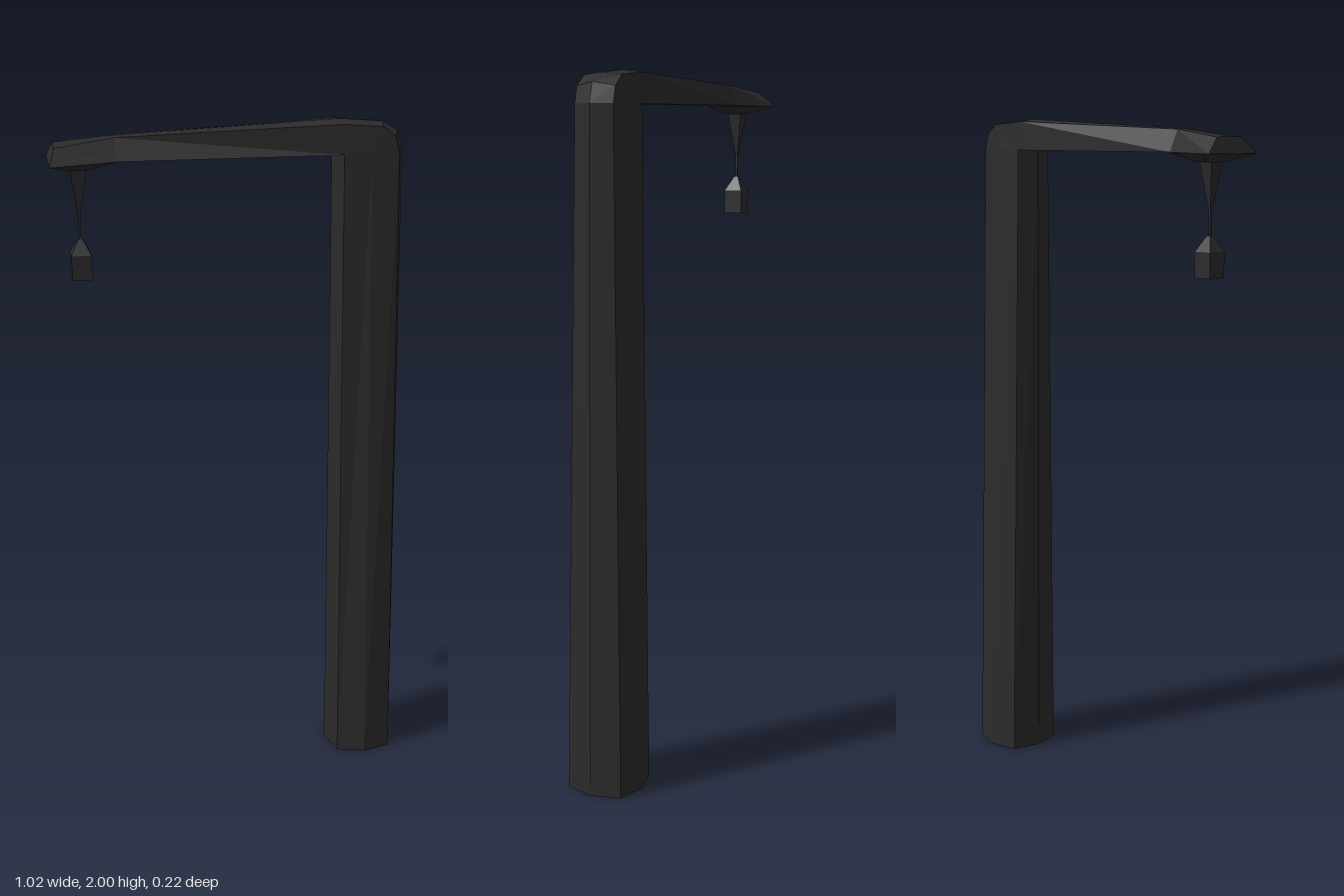
import * as THREE from 'three';

const dark = new THREE.MeshStandardMaterial({ color: 0x2b2b2b, flatShading: true });

// Skins a row of equal-length cross-sections and closes both ends
function loft(rings) {
  const pos = [];
  const tri = (...pts) => pts.forEach((p) => pos.push(...p));
  const n = rings[0].length;
  for (let r = 0; r < rings.length - 1; r++) {
    const a = rings[r], b = rings[r + 1];
    for (let i = 0; i < n; i++) {
      const j = (i + 1) % n;
      tri(a[i], a[j], b[j]);
      tri(a[i], b[j], b[i]);
    }
  }
  const first = rings[0], last = rings[rings.length - 1];
  for (let i = 1; i < n - 1; i++) {
    tri(first[0], first[i + 1], first[i]);
    tri(last[0], last[i], last[i + 1]);
  }
  const g = new THREE.BufferGeometry();
  g.setAttribute('position', new THREE.Float32BufferAttribute(pos, 3));
  g.computeVertexNormals();
  return g;
}

// Eight-sided pole section
function octagon(y, cx, rx, rz, cornerX, cornerZ) {
  return [
    [cx, y, rz], [cx + cornerX, y, cornerZ], [cx + rx, y, 0], [cx + cornerX, y, -cornerZ],
    [cx, y, -rz], [cx - cornerX, y, -cornerZ], [cx - rx, y, 0], [cx - cornerX, y, cornerZ],
  ];
}

// Arm section: ridge point, upper shoulder and lower edge, mirrored in z
function armSection([ridgeX, ridgeY], [topX, topY, topZ], [lowX, lowY, lowZ]) {
  return [
    [ridgeX, ridgeY, 0], [topX, topY, topZ], [lowX, lowY, lowZ],
    [lowX, lowY, -lowZ], [topX, topY, -topZ],
  ];
}

// Flat quadrilateral, halfA wide at x0 and halfB wide at x1
const trapezoid = (y, x0, x1, halfA, halfB) =>
  [[x0, y, halfA], [x1, y, halfB], [x1, y, -halfB], [x0, y, -halfA]];

export function createModel() {
  const group = new THREE.Group();
  const add = (name, geometry, x = 0, y = 0) => {
    const mesh = new THREE.Mesh(geometry, dark);
    mesh.name = name;
    mesh.position.set(x, y, 0);
    group.add(mesh);
    return mesh;
  };

  // Tapered pole
  add('pole', loft([
    octagon(0, 0.402, 0.108, 0.108, 0.084, 0.085),
    octagon(1.91, 0.371, 0.101, 0.062, 0.078, 0.058),
  ]));

  // Arm with flared tip, thickening into the rounded elbow
  add('arm', loft([
    armSection([-0.5, 1.952], [-0.5, 1.95, 0.048], [-0.515, 1.907, 0.094]),
    armSection([-0.335, 1.972], [-0.335, 1.97, 0.025], [-0.335, 1.91, 0.053]),
    armSection([0.29, 2], [0.29, 1.993, 0.057], [0.295, 1.91, 0.06]),
    armSection([0.412, 1.99], [0.4, 1.984, 0.057], [0.371, 1.91, 0.062]),
    armSection([0.456, 1.965], [0.437, 1.955, 0.058], [0.371, 1.91, 0.062]),
    armSection([0.472, 1.91], [0.449, 1.91, 0.058], [0.371, 1.91, 0.062]),
  ]));

  // Shallow taper under the flared tip
  add('tipUnderside', loft([
    trapezoid(1.885, -0.46, -0.41, 0.025, 0.025),
    trapezoid(1.908, -0.515, -0.335, 0.094, 0.053),
  ]));

  // Hanging lamp: four-sided spike, cord, lantern roof and body
  const square = (name, top, bottom, y0, y1) => {
    const k = Math.SQRT2;
    const g = new THREE.CylinderGeometry(top * k, bottom * k, y1 - y0, 4);
    add(name, g, -0.436, (y0 + y1) / 2).rotation.y = Math.PI / 4;
  };
  square('lampSpike', 0.022, 0.003, 1.755, 1.888);
  square('lampCord', 0.003, 0.003, 1.685, 1.76);
  square('lanternRoof', 0.006, 0.028, 1.65, 1.692);
  square('lanternBody', 0.028, 0.028, 1.58, 1.65);

  return group;
}
